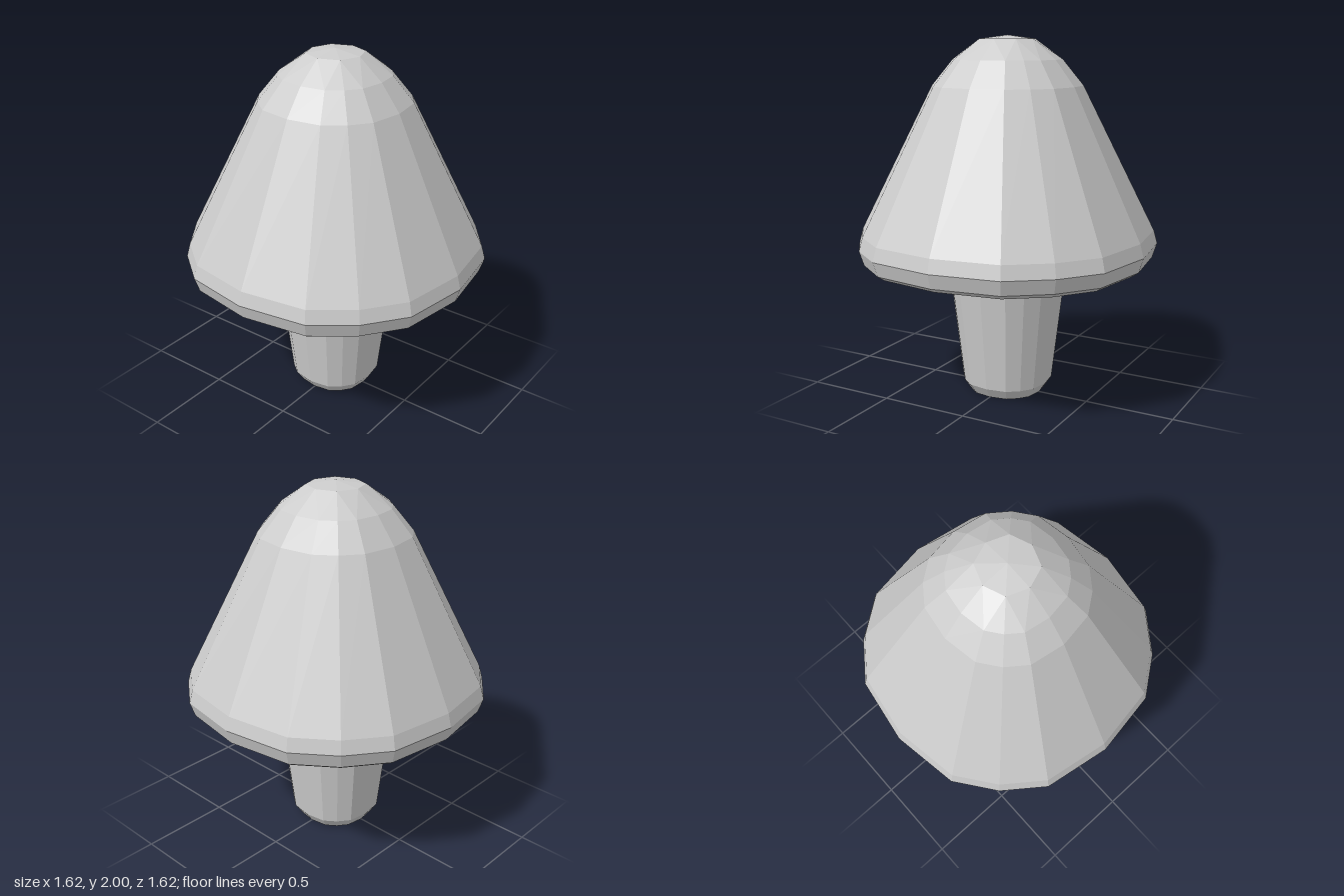
import * as THREE from 'three';

// Quarter outline of the slightly squared 16-sided cross-section, for radius 1
const QUARTER = [[1, 0], [0.926, 0.463], [0.728, 0.728], [0.463, 0.926]];

// Full ring of 16 points, running from +x towards -z
function ring(r, y) {
  const points = [];
  for (let q = 0; q < 4; q++) {
    const a = q * Math.PI / 2, c = Math.cos(a), s = Math.sin(a);
    for (const [u, v] of QUARTER) {
      points.push([r * (u * c - v * s), y, -r * (u * s + v * c)]);
    }
  }
  return points;
}

function quad(out, a, b, c, d) {
  out.push(...a, ...b, ...c, ...a, ...c, ...d);
}

// Side walls through a bottom-to-top profile of [radius, height]
function walls(out, profile) {
  const rings = profile.map(([r, y]) => ring(r, y));
  for (let k = 0; k < rings.length - 1; k++) {
    for (let i = 0; i < 16; i++) {
      const j = (i + 1) % 16;
      quad(out, rings[k][i], rings[k][j], rings[k + 1][j], rings[k + 1][i]);
    }
  }
}

function makeMesh(name, positions) {
  const geometry = new THREE.BufferGeometry();
  geometry.setAttribute('position', new THREE.Float32BufferAttribute(positions, 3));
  geometry.computeVertexNormals();
  const material = new THREE.MeshStandardMaterial({ color: 0xcccccc, flatShading: true });
  const mesh = new THREE.Mesh(geometry, material);
  mesh.name = name;
  return mesh;
}

export function createModel() {
  const group = new THREE.Group();
  group.name = 'mushroom';

  // Cap: sloping underside, rounded rim and tall cone
  const cap = [];
  walls(cap, [
    [0.31, 0.63], [0.75, 0.75], [0.785, 0.775], [0.81, 0.855],
    [0.79, 0.93], [0.40, 1.73], [0.29, 1.87],
  ]);

  // Crown: a four by four patch of quads closing the cap
  const outer = ring(0.29, 1.87), inner = ring(0.153, 1.98), apex = [0, 2, 0];
  for (let q = 0; q < 4; q++) {
    const i = q * 4, n = (i + 4) % 16;
    quad(cap, inner[i], outer[i], outer[i + 1], inner[i + 2]);
    quad(cap, inner[i + 2], outer[i + 1], outer[i + 2], outer[i + 3]);
    quad(cap, inner[n], inner[i + 2], outer[i + 3], outer[n]);
    quad(cap, apex, inner[i], inner[i + 2], inner[n]);
  }
  group.add(makeMesh('cap', cap));

  // Stem: tapered towards a bevelled flat foot
  const stem = [];
  walls(stem, [[0.205, 0], [0.245, 0.06], [0.31, 0.63]]);
  const foot = ring(0.205, 0);
  for (let i = 0; i < 16; i++) {
    stem.push(0, 0, 0, ...foot[(i + 1) % 16], ...foot[i]);
  }
  group.add(makeMesh('stem', stem));

  return group;
}
